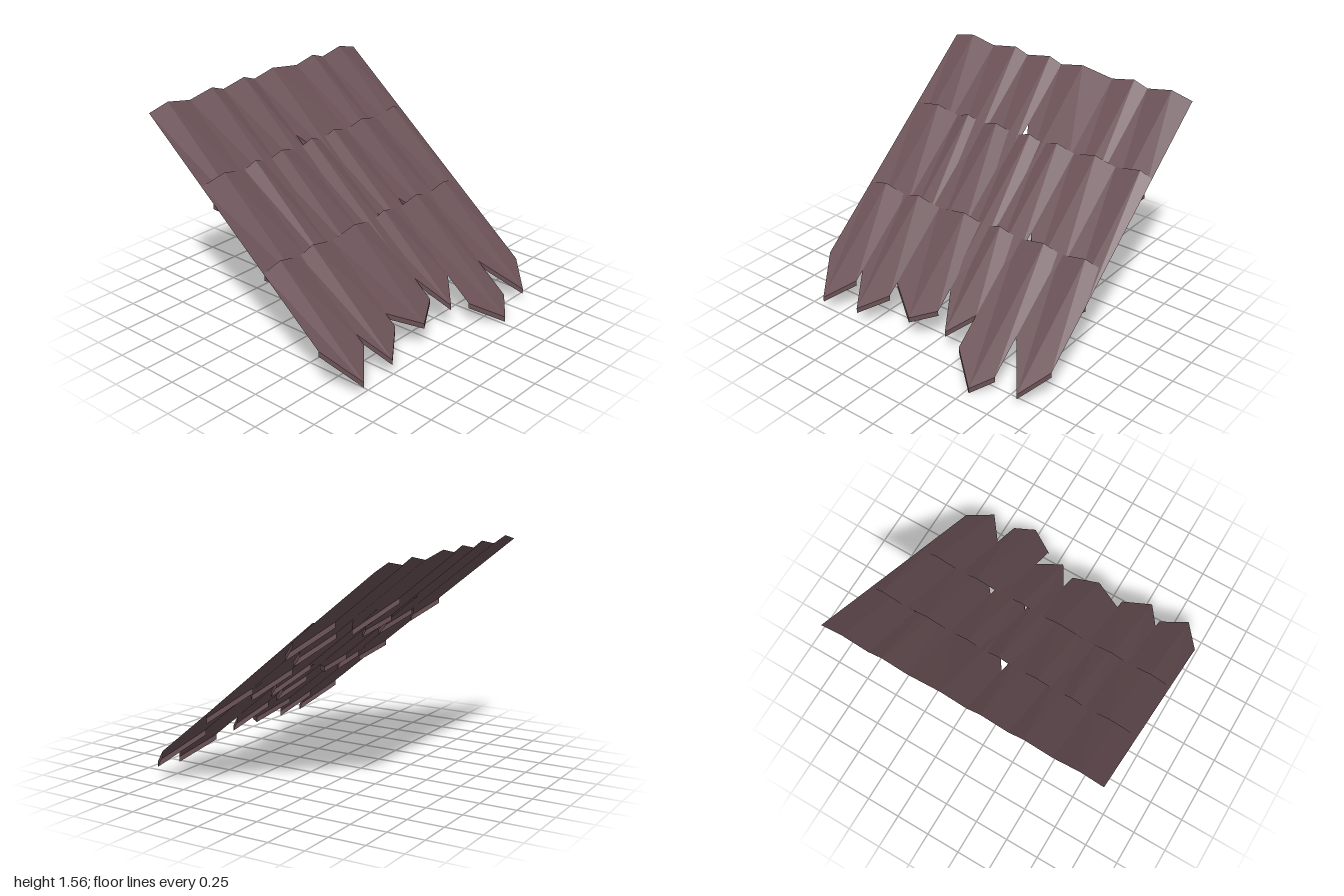
import * as THREE from 'three';

const LIP = 0.037;    // depth of the folded-down lower edge
const PEAK = 0.037;   // height of the ridge at the upper edge
const planeY = (z) => 0.04 + (0.905 - z) * 0.82; // roof pitch

// One folded sheet: peaked upper edge, pointed flat lower edge with a lip.
// top: z of upper edge; [x0, x1]: sides; peak: x of ridge; zl, zt, zr: ends at left side, tip, right side
function shingleGeometry(top, x0, x1, peak, zl, zt, zr) {
  const at = (x, z, dy = 0) => [x, planeY(z) + dy, z];
  const a = at(x0, top), p = at(peak, top, PEAK), b = at(x1, top);
  const c = at(x0, zl), t = at(peak, zt), d = at(x1, zr);
  const c2 = at(x0, zl, -LIP), t2 = at(peak, zt, -LIP), d2 = at(x1, zr, -LIP);
  const triangles = [
    a, c, t, a, t, p, p, t, d, p, d, b,       // sheet
    c, c2, t2, c, t2, t, t, t2, d2, t, d2, d, // lip
  ];
  const g = new THREE.BufferGeometry();
  g.setAttribute('position', new THREE.Float32BufferAttribute(triangles.flat(), 3));
  g.computeVertexNormals();
  return g;
}

export function createModel() {
  const roof = new THREE.Group();
  roof.name = 'shingleRoof';
  const wood = new THREE.MeshStandardMaterial({ color: 0x6a5156, side: THREE.DoubleSide, flatShading: true });
  wood.name = 'dark brown wood';

  // each shingle: left x, right x, ridge x, left end z, tip z, right end z
  const rows = [
    { name: 'upperRow', top: -0.905, shingles: [
      [-1, -0.65, -0.84, -0.33, -0.18, -0.3],
      [-0.65, -0.345, -0.45, -0.29, -0.13, -0.25],
      [-0.345, -0.05, -0.15, -0.29, -0.17, -0.25],
      [-0.05, 0.375, 0.13, -0.51, -0.25, -0.4],
      [0.375, 0.655, 0.55, -0.28, -0.06, -0.18],
      [0.655, 1, 0.84, -0.44, -0.19, -0.35],
    ] },
    { name: 'middleRow', top: -0.435, shingles: [
      [-1, -0.62, -0.8, 0.11, 0.23, 0.13],
      [-0.62, -0.41, -0.52, 0.13, 0.25, 0.17],
      [-0.41, -0.1, -0.27, 0.11, 0.21, 0.14],
      [-0.1, 0.13, 0.02, 0.25, 0.43, 0.3],
      [0.13, 0.39, 0.25, 0.07, 0.32, 0.18],
      [0.39, 0.72, 0.56, 0.05, 0.26, 0.16],
      [0.72, 1, 0.91, 0.14, 0.37, 0.3],
    ] },
    { name: 'lowerRow', top: 0.1, shingles: [
      [-1, -0.67, -0.85, 0.56, 0.8, 0.645],
      [-0.67, -0.36, -0.55, 0.58, 0.78, 0.645],
      [-0.36, 0.045, -0.135, 0.565, 0.71, 0.615],
      [0.045, 0.32, 0.17, 0.48, 0.7, 0.555],
      [0.32, 0.66, 0.53, 0.74, 0.905, 0.8],
      [0.66, 1, 0.855, 0.57, 0.83, 0.665],
    ] },
  ];

  for (const { name, top, shingles } of rows) {
    const row = new THREE.Group();
    row.name = name;
    for (const s of shingles) {
      const mesh = new THREE.Mesh(shingleGeometry(top, ...s), wood);
      mesh.name = 'shingle';
      row.add(mesh);
    }
    roof.add(row);
  }
  return roof;
}
